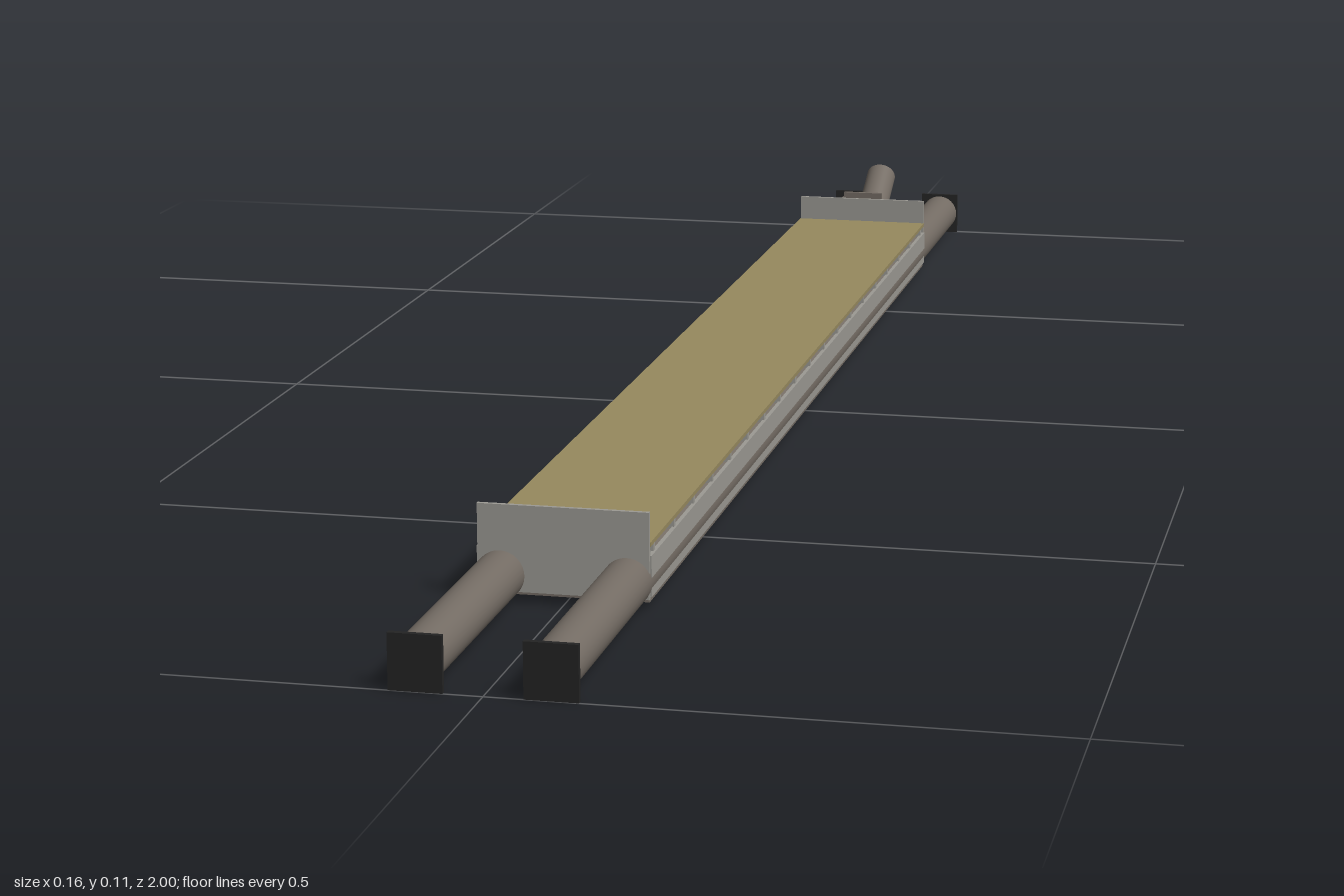
import * as THREE from 'three';

const mat = (name, color, side = THREE.FrontSide) => {
  const m = new THREE.MeshStandardMaterial({ color, side });
  m.name = name;
  return m;
};

export function createModel() {
  const group = new THREE.Group();
  group.name = 'longPlatform';
  const steel = mat('light steel', 0x9c9a94);
  const tubeMetal = mat('tube metal', 0x746c64);
  const wood = mat('tan deck', 0x978a5e);
  const black = mat('black cap', 0x242424);

  const add = (name, geo, material, x, y, z) => {
    const mesh = new THREE.Mesh(geo, material);
    mesh.name = name;
    mesh.position.set(x, y, z);
    group.add(mesh);
    return mesh;
  };
  const box = (name, material, w, h, d, x, y, z) =>
    add(name, new THREE.BoxGeometry(w, h, d), material, x, y, z);

  // Deck, cross ribs and underside panel
  box('deck', wood, 0.158, 0.004, 1.476, 0, 0.06, 0);
  box('bottomPanel', tubeMetal, 0.156, 0.005, 1.476, 0, 0.0095, 0);
  for (let i = 0; i < 19; i++) {
    box('crossRib', steel, 0.156, 0.01, 0.006, 0, 0.053, -0.72 + i * 0.08);
  }

  for (const s of [-1, 1]) {
    // Side rail and full-length tube with square end caps
    box('sideRail', steel, 0.004, 0.038, 1.476, s * 0.078, 0.031, 0);
    const tube = new THREE.CylinderGeometry(0.0225, 0.0225, 1.992, 32);
    tube.rotateX(Math.PI / 2);
    add('tube', tube, tubeMetal, s * 0.058, 0.025, 0);
    for (const e of [-1, 1]) {
      box('endCap', black, 0.047, 0.05, 0.005, s * 0.058, 0.025, e * 0.9975);
    }
    // Upright end plate
    box('endPlate', steel, 0.157, 0.08, 0.004, 0, 0.05, s * 0.739);
  }

  // Rear mounting plate and slanted post
  box('postPlate', tubeMetal, 0.048, 0.09, 0.005, 0, 0.052, -0.744);
  const foot = new THREE.Vector3(0, 0.025, -0.744);
  const head = new THREE.Vector3(0, 0.095, -0.876);
  const dir = head.clone().sub(foot);
  const mid = foot.clone().add(head).multiplyScalar(0.5);
  const post = add('slantedPost', new THREE.CylinderGeometry(0.018, 0.018, dir.length(), 32),
    tubeMetal, mid.x, mid.y, mid.z);
  post.quaternion.setFromUnitVectors(new THREE.Vector3(0, 1, 0), dir.normalize());

  return group;
}
